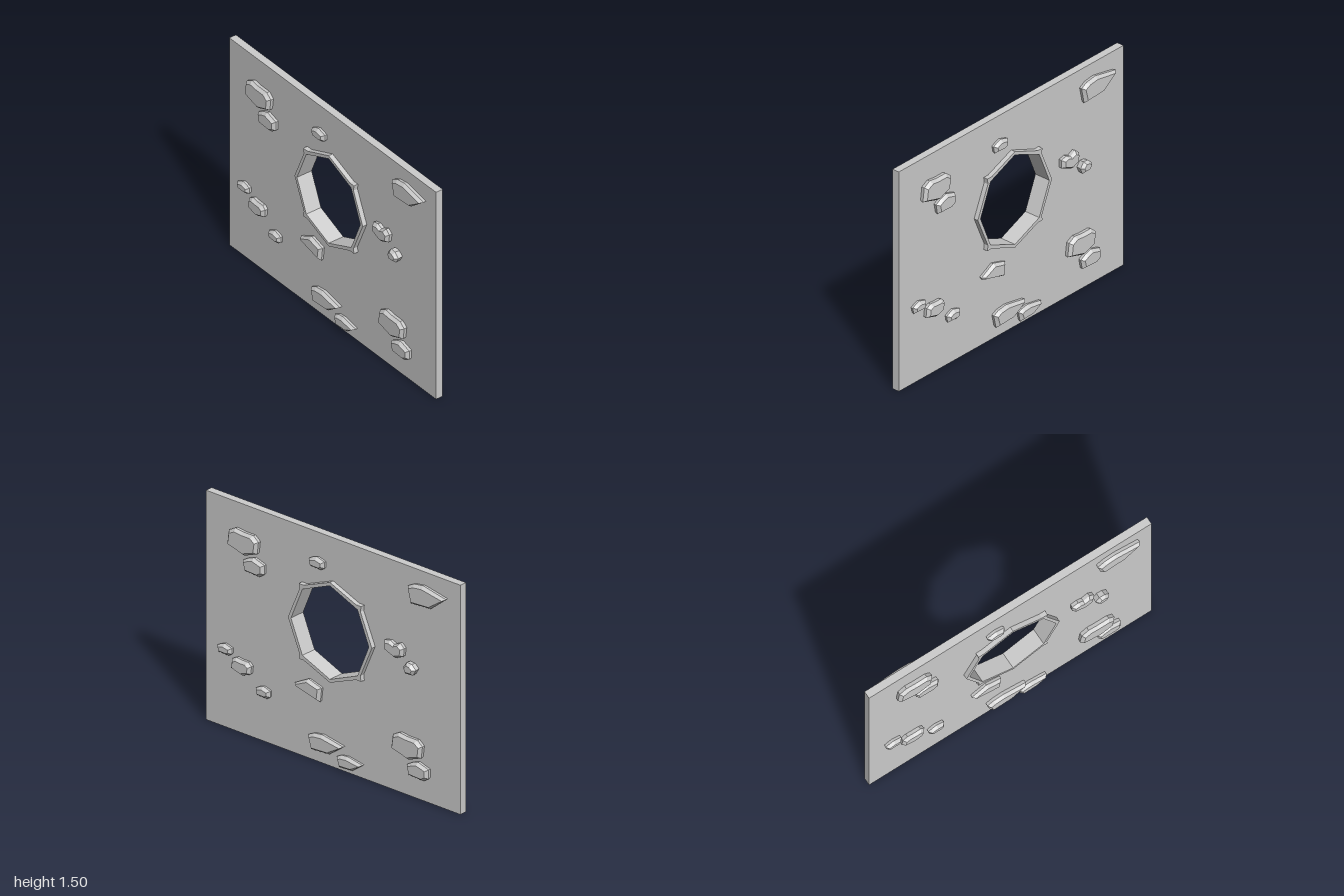
import * as THREE from 'three';

const CENTRE_Y = 0.89; // middle of the window
const material = new THREE.MeshStandardMaterial({ color: 0xcccccc, flatShading: true });

// Stone outlines, clockwise, in a -1..1 box
const OUTLINES = {
  broad: [[-0.9, 0.65], [-0.5, 1], [0, 0.9], [0.68, 0.9], [1, 0.5], [0.92, -0.5], [0.1, -1], [-1, -0.5]],
  dented: [[-0.95, 0.7], [-0.4, 0.9], [0.05, 0.6], [0.6, 1], [1, 0.5], [0.92, -0.5], [0.15, -1], [-0.95, -0.3]],
  oval: [[-1, 0.3], [-0.5, 0.75], [0, 1], [0.95, 0.55], [0.95, -0.5], [0.5, -0.95], [-0.85, -0.85]],
  pointed: [[-1, 0.5], [-0.7, 0.85], [-0.2, 1], [1, 0.5], [0.2, -0.85], [-0.85, -1]],
  wedge: [[-1, 0.1], [0, 1], [1, 0.5], [0.9, -1], [-0.95, -0.1]],
  hex: [[-1, 0], [-0.45, 0.95], [0.35, 0.85], [1, 0.1], [0.55, -0.9], [-0.7, -1]],
};

// outline, across, up, half width, half height, relief
const STONES = [
  ['broad', -0.69, 1.26, 0.122, 0.08, 0.068],
  ['oval', -0.605, 1.13, 0.086, 0.058, 0.065],
  ['oval', -0.113, 1.307, 0.063, 0.04, 0.062],
  ['oval', -0.837, 0.518, 0.058, 0.036, 0.062],
  ['broad', -0.703, 0.443, 0.08, 0.053, 0.067],
  ['oval', -0.535, 0.33, 0.058, 0.038, 0.062],
  ['wedge', -0.18, 0.466, 0.104, 0.062, 0.062],
  ['pointed', -0.04, 0.137, 0.137, 0.06, 0.065],
  ['pointed', 0.146, 0.07, 0.1, 0.044, 0.062],
  ['broad', 0.6, 0.325, 0.122, 0.078, 0.068],
  ['oval', 0.685, 0.195, 0.087, 0.057, 0.065],
  ['dented', 0.498, 0.934, 0.08, 0.055, 0.067],
  ['hex', 0.63, 0.849, 0.049, 0.04, 0.078],
  ['pointed', 0.755, 1.346, 0.15, 0.072, 0.065],
];

// Chipped stone: straight walls, a sloping rim and a flat cap
function stoneGeometry(outline, w, h, relief) {
  const ring = (inset, z) => outline.map(([a, b]) => [a * (w - inset), b * (h - inset), z]);
  const rings = [ring(0.006, 0.015), ring(0, relief - 0.02), ring(0.018, relief)];
  const pos = [];
  const n = outline.length;
  for (let i = 0; i < n; i++) {
    const j = (i + 1) % n;
    for (let k = 0; k < 2; k++) {
      const lo = rings[k], hi = rings[k + 1];
      pos.push(...lo[i], ...hi[i], ...lo[j], ...hi[i], ...hi[j], ...lo[j]);
    }
    pos.push(0, 0, relief, ...rings[2][j], ...rings[2][i]);
  }
  const geometry = new THREE.BufferGeometry();
  geometry.setAttribute('position', new THREE.Float32BufferAttribute(pos, 3));
  geometry.computeVertexNormals();
  return geometry;
}

function octagon(r) {
  const points = [];
  for (let i = 0; i < 8; i++) {
    const a = (i * Math.PI) / 4;
    points.push(new THREE.Vector2(r * Math.cos(a), CENTRE_Y + r * Math.sin(a)));
  }
  return points;
}

function slab(shape, depth, name) {
  const geometry = new THREE.ExtrudeGeometry(shape, { depth, bevelEnabled: false });
  geometry.translate(0, 0, -depth / 2);
  const mesh = new THREE.Mesh(geometry, material);
  mesh.name = name;
  return mesh;
}

export function createModel() {
  const model = new THREE.Group();
  model.name = 'windowWall';

  // Wall panel with its opening, drawn facing +z and turned to face +x
  const wallShape = new THREE.Shape([[-1, 0], [1, 0], [1, 1.5], [-1, 1.5]].map((p) => new THREE.Vector2(...p)));
  wallShape.holes.push(new THREE.Path(octagon(0.317)));
  const wall = slab(wallShape, 0.05, 'wall');

  // Eight-sided window frame with squared diagonal corners
  const corner = [[0.24, 0.21], [0.245, 0.246], [0.205, 0.246]];
  const mirrored = [...corner].reverse();
  const flip = (list, sx, sy) => list.map(([x, y]) => [x * sx, y * sy]);
  const rim = [
    [0.33, 0], ...corner, [0, 0.328], ...flip(mirrored, -1, 1),
    [-0.33, 0], ...flip(corner, -1, -1), [0, -0.328], ...flip(mirrored, 1, -1),
  ];
  const frameShape = new THREE.Shape(rim.map(([x, y]) => new THREE.Vector2(x, y + CENTRE_Y)));
  frameShape.holes.push(new THREE.Path(octagon(0.306)));
  const frame = slab(frameShape, 0.11, 'windowFrame');

  for (const part of [wall, frame]) {
    part.rotation.y = Math.PI / 2;
    model.add(part);
  }

  // The same scatter of stones on both faces
  for (const [name, turn] of [['leftStones', 1], ['rightStones', -1]]) {
    const face = new THREE.Group();
    face.name = name;
    for (const [kind, x, y, w, h, relief] of STONES) {
      const stone = new THREE.Mesh(stoneGeometry(OUTLINES[kind], w, h, relief), material);
      stone.name = 'stone';
      stone.position.set(x, y, 0);
      face.add(stone);
    }
    face.rotation.y = (turn * Math.PI) / 2;
    model.add(face);
  }
  return model;
}
